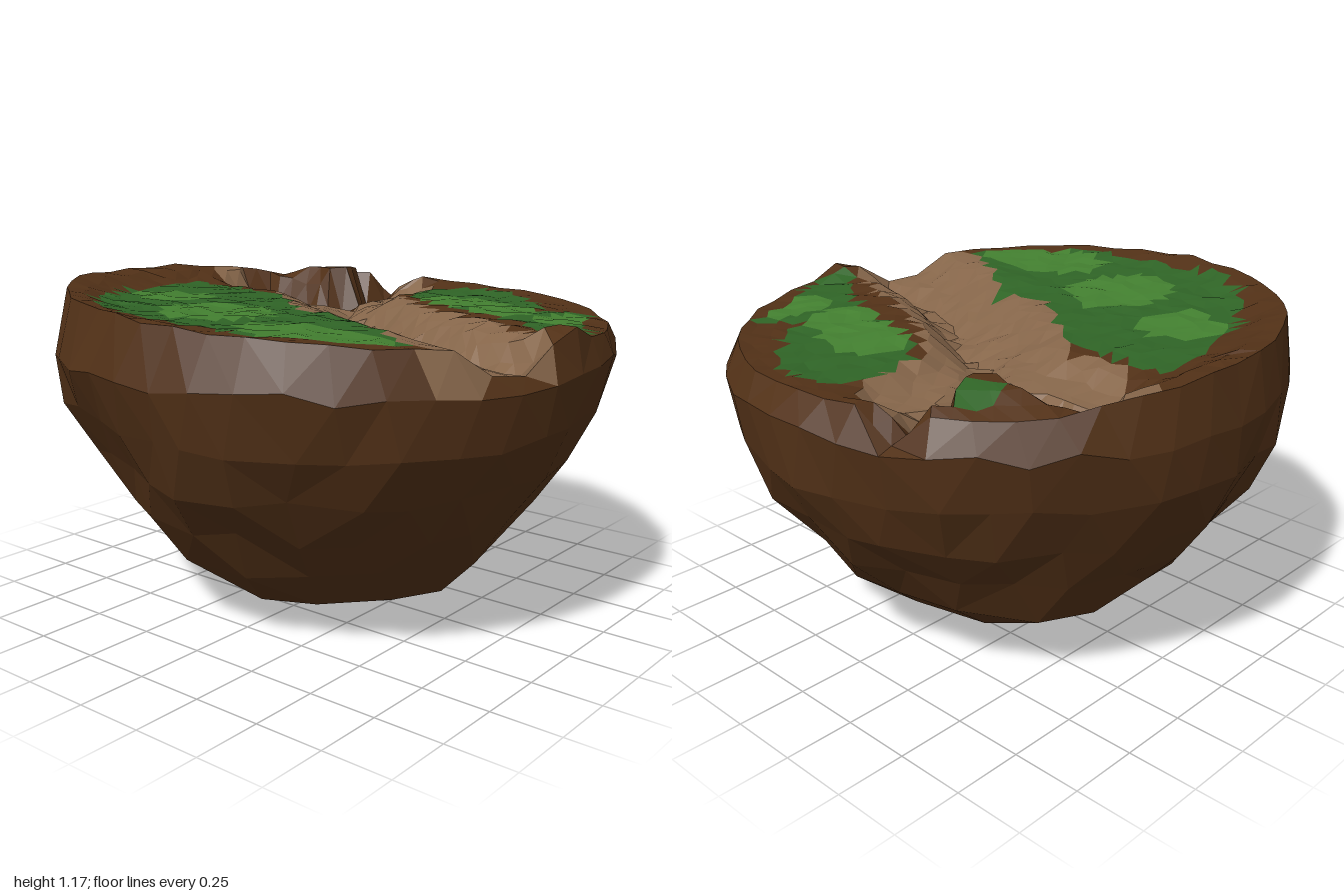
import * as THREE from 'three';

const COLORS = { soil: 0x523117, path: 0x86664a, grass: 0x2f6426, lightGrass: 0x438030 };
const BOWL_RINGS = 8, TOP_RINGS = 16, RIM = BOWL_RINGS * 6;

// Repeatable noise in -1..1
const hash = (a, b, c = 0) => {
  const s = Math.sin(a * 127.1 + b * 311.7 + c * 74.7) * 43758.5453;
  return (s - Math.floor(s)) * 2 - 1;
};
const fade = (d, near, far) => 1 - THREE.MathUtils.smoothstep(d, near, far);

// Distance from a point to a polyline
function distTo(x, z, line) {
  let best = Infinity;
  for (let i = 0; i < line.length - 1; i++) {
    const [ax, az] = line[i], dx = line[i + 1][0] - ax, dz = line[i + 1][1] - az;
    const t = THREE.MathUtils.clamp(((x - ax) * dx + (z - az) * dz) / (dx * dx + dz * dz), 0, 1);
    best = Math.min(best, Math.hypot(x - ax - t * dx, z - az - t * dz));
  }
  return best;
}
function inside(x, z, poly) {
  let hit = false;
  for (let i = 0, j = poly.length - 1; i < poly.length; j = i++) {
    const [xi, zi] = poly[i], [xj, zj] = poly[j];
    if (zi > z !== zj > z && x < ((xj - xi) * (z - zi)) / (zj - zi) + xi) hit = !hit;
  }
  return hit;
}

// Layout of the top: hollows of the forked path, creases, raised block and coloured areas
const mainPath = [[1.05, 0.33], [0.85, 0.27], [0.5, 0.14], [0.2, -0.01], [-0.08, -0.16]];
const sidePaths = [
  [[-0.08, -0.16], [-0.2, -0.45], [-0.22, -0.72]],
  [[-0.08, -0.16], [-0.4, -0.29], [-0.7, -0.32]],
];
const crease = [[0.9, 0.18], [0.75, 0.16], [0.5, 0.1], [0.25, -0.02], [0.05, -0.17], [-0.15, -0.27], [-0.3, -0.4]];
const blockGaps = [[[-0.4, -1], [-0.36, -0.46]], [[-0.38, -0.43], [-0.76, -0.44]]];
const block = [[-0.44, -1.1], [-0.4, -0.52], [-0.82, -0.52], [-1.1, -0.62], [-1.1, -1.1]];
const pathArea = [[-0.93, -0.41], [-0.88, -0.27], [-0.7, -0.2], [-0.6, -0.12], [-0.42, -0.15], [-0.2, 0.05], [0, 0.2],
  [0.25, 0.2], [0.42, 0.36], [0.72, 0.53], [1, 0.5], [1, 0.12], [0.6, -0.1], [0.3, -0.2], [0.1, -0.33], [-0.07, -0.45],
  [-0.05, -0.6], [-0.08, -0.76], [-0.2, -0.85], [-0.32, -0.84], [-0.36, -0.7], [-0.28, -0.52], [-0.3, -0.42],
  [-0.45, -0.38], [-0.7, -0.42]];
const blockGrass = [[-0.58, -0.65], [-0.52, -0.74], [-0.46, -0.72], [-0.45, -0.58], [-0.54, -0.57]];
const grassAreas = [
  [[-0.8, -0.1], [-0.6, -0.1], [-0.2, -0.08], [-0.17, 0.1], [0, 0.2], [0.25, 0.2], [0.45, 0.36], [0.72, 0.5],
    [0.65, 0.62], [0.35, 0.8], [0.2, 0.83], [-0.32, 0.82], [-0.55, 0.65], [-0.7, 0.4], [-0.76, 0.1]],
  [[-0.05, -0.82], [0.2, -0.85], [0.45, -0.66], [0.55, -0.48], [0.7, -0.62], [0.82, -0.35], [0.95, -0.12],
    [0.9, 0], [0.7, -0.16], [0.45, -0.25], [0.1, -0.36], [-0.08, -0.55]],
];
// Light grass patches: x, z, half width, half depth
const lightPatches = [[-0.12, 0.48, 0.19, 0.2], [0.4, 0.63, 0.28, 0.15], [-0.53, 0.3, 0.15, 0.14],
  [0.25, -0.45, 0.19, 0.15], [0.46, -0.37, 0.12, 0.13], [0.73, -0.4, 0.1, 0.16]];

function height(x, z) {
  const r = Math.hypot(x, z);
  // Block leaning outward
  if (inside(x, z, block)) return 1.13 - 0.4 * Math.max(0, r - 0.8);
  // Tilted ground, sunk behind the left rim
  let y = 1.107 - 0.045 * x + 0.045 * z - Math.max(0, 0.02 - 0.035 * x) * fade(r, 0.76, 0.94);
  y += 0.05 * fade(Math.hypot(x - 0.96, z - 0.03), 0.04, 0.18);
  const main = fade(distTo(x, z, mainPath), 0.06, 0.23);
  const side = Math.max(...sidePaths.map((p) => fade(distTo(x, z, p), 0.04, 0.16)));
  y -= Math.max(main * 0.08, side * 0.06);
  y -= 0.05 * fade(distTo(x, z, crease), 0.01, 0.1);
  return y - 0.12 * Math.max(...blockGaps.map((g) => fade(distTo(x, z, g), 0.03, 0.09)));
}

function topKind(x, z) {
  if (inside(x, z, blockGrass)) return 'grass';
  if (inside(x, z, block)) return 'soil';
  if (inside(x, z, pathArea)) return 'path';
  if (!grassAreas.some((g) => inside(x, z, g))) return 'soil';
  return lightPatches.some(([cx, cz, w, d]) => ((x - cx) / w) ** 2 + ((z - cz) / d) ** 2 < 1)
    ? 'lightGrass' : 'grass';
}

// Rim corner k of the shared edge between bowl and top
function rimCorner(k) {
  k = ((k % RIM) + RIM) % RIM;
  const a = (k / RIM) * Math.PI * 2, r = 0.95 + 0.015 * Math.cos(a * 2) + 0.008 * hash(k, 3);
  const x = r * Math.cos(a), z = r * Math.sin(a);
  return new THREE.Vector3(x, height(x, z) + 0.008 * hash(k, 9), z);
}

const profile = [[0, 0], [0.24, 0.02], [0.45, 0.11], [0.64, 0.265], [0.76, 0.43], [0.875, 0.59], [0.962, 0.77], [0.997, 0.96]];

function bowlPoint(i, k) {
  if (i === BOWL_RINGS) return rimCorner(k);
  const n = Math.max(1, i * 6);
  k %= n;
  const a = (k / n) * Math.PI * 2 + (i > 0 && i < 7 ? (hash(i, k, 1) * 0.22) / i : 0);
  let [r, y] = profile[i];
  // Uneven lumps, one hollow on the front and a low knob on the right
  r += i === 7 ? 0.005 * hash(i, k) : i > 0 ? 0.018 * hash(i, k) + 0.008 * Math.sin(a * 3 + i) : 0;
  if (i > 3 && i < 7) r -= 0.05 * fade(Math.hypot(a - 1.9, (y - 0.65) * 2), 0.1, 0.4);
  if (i > 1) y += 0.022 * hash(i, k, 5);
  if (i === 2 && k === 0) y = 0.07;
  const low = Math.max(0, 0.97 - y);
  return new THREE.Vector3(r * Math.cos(a) - 0.03 * low, Math.max(0, y), r * Math.sin(a) - 0.025 * low);
}

function topPoint(i, k) {
  const n = Math.max(1, i * 6);
  k %= n;
  if (i === TOP_RINGS) {
    const t = (k / n) * RIM, f = Math.floor(t);
    return rimCorner(f).lerp(rimCorner(f + 1), t - f);
  }
  const a = (k / n) * Math.PI * 2, r = (i / TOP_RINGS) * 0.95;
  const x = r * Math.cos(a) + 0.018 * hash(i, k, 1), z = r * Math.sin(a) + 0.018 * hash(i, k, 2);
  return new THREE.Vector3(x, height(x, z) + 0.005 * hash(i, k, 3), z);
}

// Disc of rings with 6 more corners each; faces are sorted by kind
function disc(rings, point, kind, flip) {
  const faces = {};
  const add = (a, b, c) => {
    const m = a.clone().add(b).add(c).divideScalar(3);
    (faces[kind(m)] ??= []).push(...(flip ? [a, c, b] : [a, b, c]));
  };
  for (let i = 1; i <= rings; i++)
    for (let s = 0; s < 6; s++)
      for (let j = 0; j < i; j++) {
        const o = s * i + j, n = s * (i - 1) + j;
        add(point(i - 1, n), point(i, o), point(i, o + 1));
        if (j < i - 1) add(point(i - 1, n), point(i, o + 1), point(i - 1, n + 1));
      }
  return faces;
}

function addMeshes(group, faces, prefix) {
  for (const [kind, points] of Object.entries(faces)) {
    const geometry = new THREE.BufferGeometry().setFromPoints(points);
    geometry.computeVertexNormals();
    const mesh = new THREE.Mesh(geometry, new THREE.MeshStandardMaterial({ color: COLORS[kind], flatShading: true }));
    mesh.name = prefix + kind[0].toUpperCase() + kind.slice(1);
    group.add(mesh);
  }
}

export function createModel() {
  const group = new THREE.Group();
  group.name = 'earthIsland';
  // Rounded underside, with the path spilling over its right edge
  const underKind = (m) => (m.y > 0.98 && m.x > 0.75 && Math.abs(m.z - 0.35) < 0.22 ? 'path' : 'soil');
  addMeshes(group, disc(BOWL_RINGS, bowlPoint, underKind, false), 'under');
  // Ground on top
  addMeshes(group, disc(TOP_RINGS, topPoint, (m) => topKind(m.x, m.z), true), 'top');
  return group;
}
